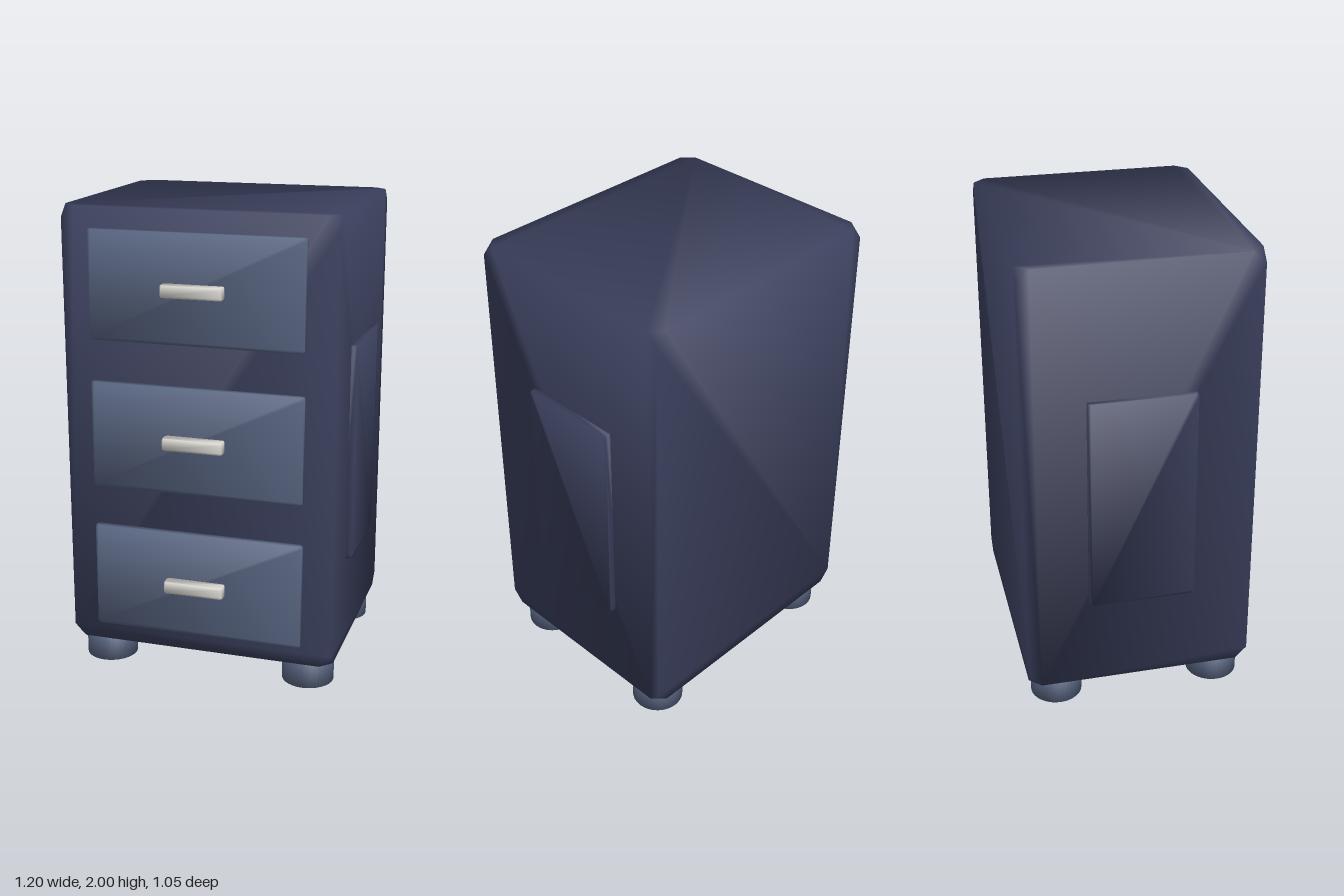
import * as THREE from 'three';
import { mergeVertices } from 'three/addons/utils/BufferGeometryUtils.js';

const navy = new THREE.MeshStandardMaterial({ name: 'navy', color: 0x3a3f5c });
const slate = new THREE.MeshStandardMaterial({ name: 'slateBlue', color: 0x56637f });
const silver = new THREE.MeshStandardMaterial({ name: 'silver', color: 0xd8d6d0 });

// Box with its eight corner points cut off and normals blended across the edges
function cutCornerBox(min, max, cut) {
  const pos = [], nor = [], index = [];
  const sign = (corner, axis) => ((corner >> axis) & 1 ? 1 : -1);
  for (let corner = 0; corner < 8; corner++) {
    for (let axis = 0; axis < 3; axis++) {
      const n = new THREE.Vector3();
      for (let k = 0; k < 3; k++) {
        const s = sign(corner, k);
        pos.push((s > 0 ? max[k] : min[k]) - (k === axis ? s * cut : 0));
        n.setComponent(k, k === axis ? 0.2 * s : s);
      }
      nor.push(...n.normalize().toArray());
    }
    const i = corner * 3;
    const outward = sign(corner, 0) * sign(corner, 1) * sign(corner, 2) > 0;
    index.push(i, ...(outward ? [i + 1, i + 2] : [i + 2, i + 1]));
  }
  // Each side is an octagon, fanned from one chosen corner
  const fanStart = [0, 1, 0];
  for (let a = 0; a < 3; a++) {
    const b = (a + 1) % 3, c = (a + 2) % 3;
    for (const side of [0, 1]) {
      const ring = [];
      [[0, 0], [1, 0], [1, 1], [0, 1]].forEach(([u, v], i) => {
        const corner = (side << a) | (u << b) | (v << c);
        const order = i % 2 ? [b, c] : [c, b];
        ring.push(corner * 3 + order[0], corner * 3 + order[1]);
      });
      const at = (k) => ring[(fanStart[a] * 2 + k) % 8];
      for (let k = 1; k < 7; k++) {
        index.push(at(0), ...(side ? [at(k), at(k + 1)] : [at(k + 1), at(k)]));
      }
    }
  }
  const geo = new THREE.BufferGeometry();
  geo.setAttribute('position', new THREE.Float32BufferAttribute(pos, 3));
  geo.setAttribute('normal', new THREE.Float32BufferAttribute(nor, 3));
  geo.setIndex(index);
  return geo;
}

// Cylinder whose rims are shaded smoothly into the caps
function smoothFoot(radius, height) {
  const geo = new THREE.CylinderGeometry(radius, radius, height, 32);
  geo.deleteAttribute('normal');
  geo.deleteAttribute('uv');
  const merged = mergeVertices(geo);
  merged.computeVertexNormals();
  return merged;
}

export function createModel() {
  const model = new THREE.Group();
  model.name = 'drawerCabinet';
  const add = (name, geo, mat, parent = model) => {
    const mesh = new THREE.Mesh(geo, mat);
    mesh.name = name;
    parent.add(mesh);
    return mesh;
  };

  add('cabinetBody', cutCornerBox([-0.575, 0.115, -0.525], [0.575, 2, 0.435], 0.05), navy);

  // Drawers with bar handles
  ['bottom', 'middle', 'top'].forEach((label, i) => {
    const y = 0.43 + i * 0.629;
    const drawer = new THREE.Group();
    drawer.name = label + 'Drawer';
    model.add(drawer);
    add('drawerFront', cutCornerBox([-0.45, y - 0.226, 0.441], [0.45, y + 0.226, 0.469], 0.012), slate, drawer);
    add('drawerHandle', cutCornerBox([-0.126, y - 0.025, 0.477], [0.126, y + 0.025, 0.525], 0.008), silver, drawer);
  });

  // Raised panels on both sides
  add('leftSidePanel', cutCornerBox([0.55, 0.51, -0.267], [0.6, 1.44, 0.178], 0.012), navy);
  add('rightSidePanel', cutCornerBox([-0.6, 0.51, -0.267], [-0.55, 1.44, 0.178], 0.012), navy);

  // Round feet
  const foot = smoothFoot(0.111, 0.12);
  for (const x of [-0.45, 0.45]) {
    for (const z of [0.312, -0.393]) {
      add((z > 0 ? 'front' : 'back') + (x > 0 ? 'Left' : 'Right') + 'Foot', foot, slate).position.set(x, 0.06, z);
    }
  }
  return model;
}
